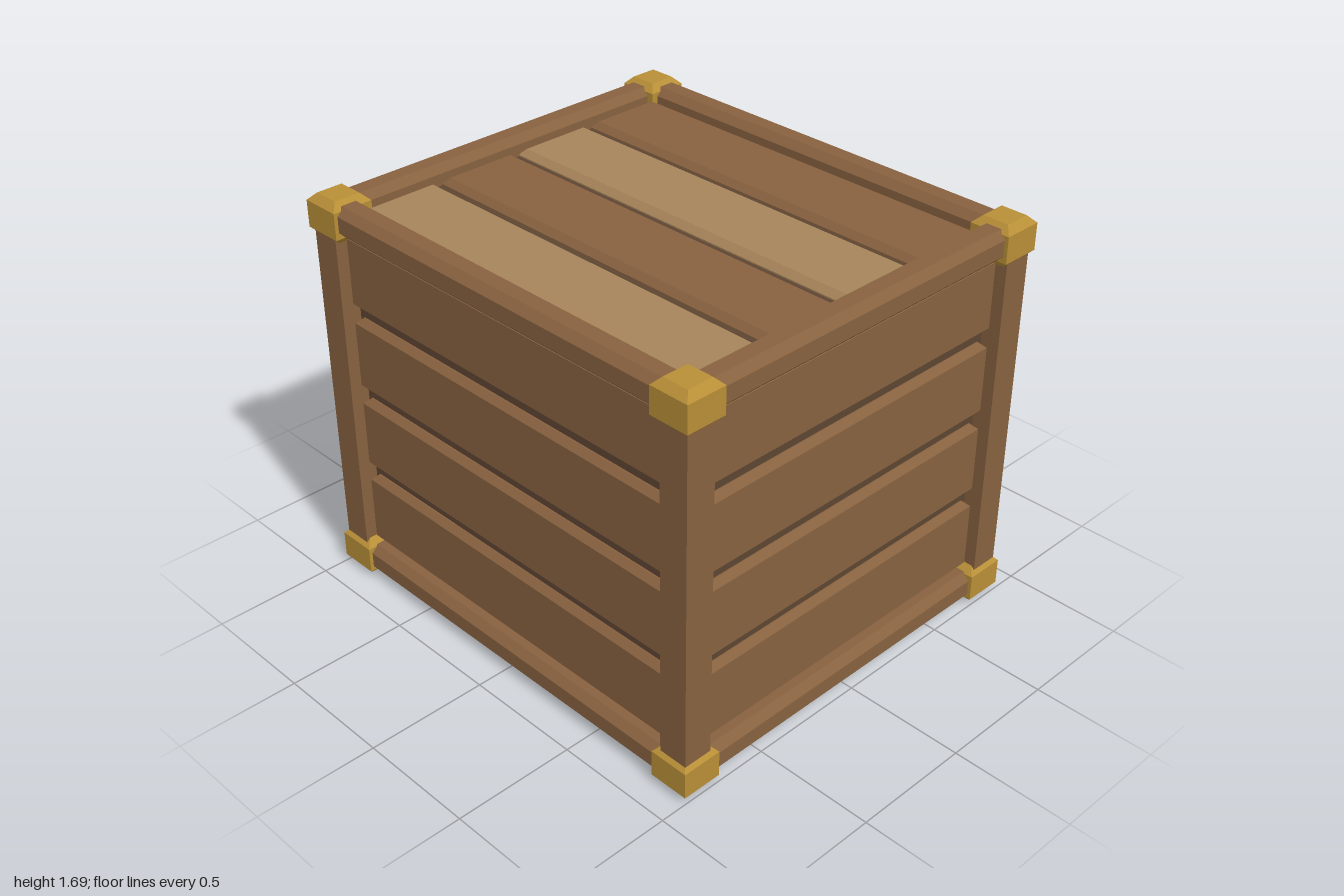
import * as THREE from 'three';

const mat = (name, color) => {
  const m = new THREE.MeshStandardMaterial({ color });
  m.name = name;
  return m;
};

// Closed solid through stacked rectangles; each section is [y, halfX, halfZ]
function stack(sections) {
  const pos = [];
  const ring = ([y, x, z]) => [[x, y, z], [x, y, -z], [-x, y, -z], [-x, y, z]];
  const quad = (a, b, c, d) => pos.push(...a, ...b, ...c, ...a, ...c, ...d);
  const rings = sections.map(ring);
  for (let i = 0; i < rings.length - 1; i++) {
    const lo = rings[i], hi = rings[i + 1];
    for (let k = 0; k < 4; k++) {
      const n = (k + 1) % 4;
      quad(lo[k], lo[n], hi[n], hi[k]);
    }
  }
  const top = rings[rings.length - 1], bottom = rings[0];
  quad(top[0], top[1], top[2], top[3]);
  quad(bottom[3], bottom[2], bottom[1], bottom[0]);
  const g = new THREE.BufferGeometry();
  g.setAttribute('position', new THREE.Float32BufferAttribute(pos, 3));
  g.computeVertexNormals();
  return g;
}

export function createModel() {
  const darkWood = mat('dark wood', 0x88623f);
  const lightWood = mat('light wood', 0xa7855a);
  const innerWood = mat('shadowed inner wood', 0x5d4531);
  const brass = mat('brass', 0xb88f37);

  const crate = new THREE.Group();
  crate.name = 'crate';
  const add = (name, geo, material, x, y, z, parent = crate) => {
    const m = new THREE.Mesh(geo, material);
    m.name = name;
    m.position.set(x, y, z);
    parent.add(m);
    return m;
  };

  const PX = 0.8125, PZ = 0.9225, MID = 0.845, B = 0.03, R = 0.0625;
  const railY = [0.0825, 1.6075];

  // Inner box seen between the planks
  add('innerBox', new THREE.BoxGeometry(1.59, 1.52, 1.81), innerWood, 0, 0.83, 0);

  // Upright posts and capped corners
  const post = new THREE.BoxGeometry(2 * R, 1.5, 2 * R);
  const cap = stack([
    [-0.085, 0.055, 0.055], [-0.055, 0.085, 0.085],
    [0.055, 0.085, 0.085], [0.085, 0.055, 0.055],
  ]);
  for (const sx of [-1, 1]) for (const sz of [-1, 1]) {
    add('cornerPost', post, darkWood, sx * PX, MID, sz * PZ);
    for (const y of [0.085, 1.602]) add('cornerCap', cap, brass, sx * 0.805, y, sz * 0.915);
  }

  // Chamfered rails between the corners
  const railX = stack([[-R, 0.8, R - B], [-R + B, 0.8, R], [R - B, 0.8, R], [R, 0.8, R - B]]);
  const railZ = stack([[-R, R - B, 0.91], [-R + B, R, 0.91], [R - B, R, 0.91], [R, R - B, 0.91]]);
  for (const y of railY) for (const s of [-1, 1]) {
    add('crossRail', railX, darkWood, 0, y, s * PZ);
    add('sideRail', railZ, darkWood, s * PX, y, 0);
  }

  // Wall planks: bevelled long edges, ends tapering inwards
  const wall = (name, half, dist, turn, material) => {
    const g = new THREE.Group();
    g.name = name;
    g.rotation.y = turn;
    const geo = stack([
      [-0.04, half - 0.025, 0.1625], [-0.025, half - 0.025, 0.1625], [0, half, 0.1375],
    ]).rotateX(Math.PI / 2);
    for (let i = 0; i < 4; i++) add('wallPlank', geo, material, 0, 0.305 + 0.36 * i, dist, g);
    crate.add(g);
  };
  wall('frontWall', 0.75, 0.935, 0, darkWood);
  wall('backWall', 0.75, 0.935, Math.PI, lightWood);
  wall('leftWall', 0.86, 0.825, Math.PI / 2, lightWood);
  wall('rightWall', 0.86, 0.825, -Math.PI / 2, darkWood);

  // Lid planks in alternating colours
  const lid = stack([[-0.04, 0.175, 0.865], [-0.025, 0.175, 0.865], [0, 0.15, 0.84]]);
  for (let i = 0; i < 4; i++) {
    add('lidPlank', lid, i % 2 ? darkWood : lightWood, -0.5775 + 0.385 * i, 1.62, 0);
  }
  return crate;
}
